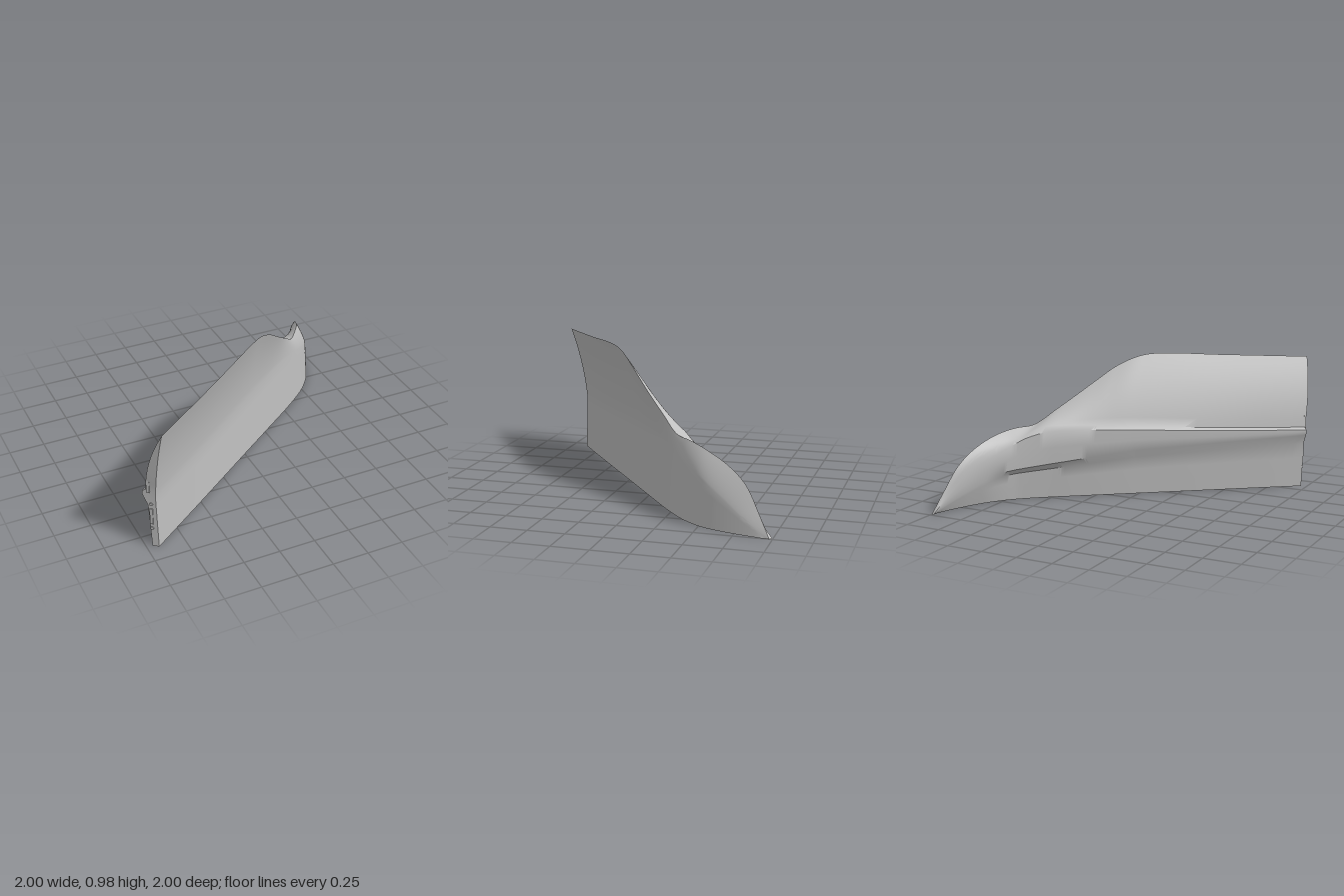
import * as THREE from 'three';
import { toCreasedNormals } from 'three/addons/utils/BufferGeometryUtils.js';

const V = (x, y, z) => new THREE.Vector3(x, y, z);
const curve = (rows) => new THREE.CatmullRomCurve3(rows.map((r) => V(...r)));

// Guide lines from rear to front; matching entries share a station
const bottomLine = curve([
  [-0.925, 0, 0.885], [-0.45, 0, 0.54], [0, 0, 0.21], [0.1, 0, 0.137], [0.2, 0, 0.064],
  [0.3, 0, -0.009], [0.4, 0, -0.082], [0.52, 0, -0.17], [0.66, 0, -0.28], [0.75, 0, -0.36],
  [0.84, 0, -0.465], [0.89, 0, -0.55], [0.93, 0, -0.66], [0.97, 0, -0.81], [0.998, 0, -0.95],
]);
const beltLine = curve([
  [-1, 0.43, 0.82], [-0.48, 0.45, 0.42], [0, 0.48, 0.05], [0.1, 0.485, -0.028], [0.2, 0.49, -0.105],
  [0.3, 0.495, -0.182], [0.4, 0.495, -0.26], [0.5, 0.485, -0.338], [0.6, 0.45, -0.425], [0.66, 0.41, -0.485],
  [0.73, 0.36, -0.575], [0.8, 0.3, -0.68], [0.865, 0.22, -0.785], [0.935, 0.1, -0.9], [0.978, 0, -0.995],
]);
const topLine = curve([
  [-0.925, 0.935, 1], [-0.45, 0.96, 0.665], [0, 0.982, 0.335], [0.1, 0.957, 0.247], [0.2, 0.9, 0.16],
  [0.3, 0.81, 0.058], [0.4, 0.715, -0.05], [0.5, 0.622, -0.163], [0.61, 0.525, -0.285], [0.7, 0.51, -0.4],
  [0.78, 0.475, -0.53], [0.85, 0.4, -0.69], [0.9, 0.3, -0.81], [0.95, 0.15, -0.9], [1, 0, -0.98],
]);
// Height of the body crease along the door
const creaseLine = curve([0.39, 0.36, 0.33, 0.315, 0.3, 0.285, 0.27, 0.255, 0.24, 0.23, 0.21, 0.16, 0.11, 0.05, 0]
  .map((y, i) => [i, y, 0]));

// Closed cross-section: up the inner face, then down the outer face
function section(u) {
  const B = bottomLine.getPoint(u), M = beltLine.getPoint(u), T = topLine.getPoint(u);
  const yc = creaseLine.getPoint(u).y;
  const across = V(M.x - B.x, 0, M.z - B.z);
  const out = across.clone().normalize();
  const at = (f, y) => B.clone().addScaledVector(across, f).setY(Math.max(y, 0));
  const front = THREE.MathUtils.smoothstep(u, 0.44, 0.62);
  const nose = THREE.MathUtils.smoothstep(u, 0.62, 0.78);

  // Belt ledge, fading into the rounded front edge
  const ledge = M.clone().addScaledVector(out, -0.025).setY(M.y + 0.015 + 0.04 * u)
    .lerp(M.clone().lerp(T, 0.35).addScaledVector(out, 0.035 * (1 - u)), front);
  const bulge = 0.06 * Math.max(T.y - ledge.y, 0) / 0.5 + 0.015 * nose * (1 - u);
  const window = new THREE.QuadraticBezierCurve3(
    ledge, ledge.clone().lerp(T, 0.5).addScaledVector(out, bulge), T);

  // Lower body with a step under the crease
  const Bo = at(0.45, 0);
  const low = at(THREE.MathUtils.lerp(0.64, 0.8, nose), yc * 0.83);
  const high = at(THREE.MathUtils.lerp(0.95, 0.87, nose), yc);
  const outer = [Bo, Bo.clone().lerp(low, 0.33), Bo.clone().lerp(low, 0.67), low, high,
    high.clone().lerp(M, 0.5).addScaledVector(out, 0.004), M];
  for (let k = 0; k <= 8; k++) outer.push(window.getPoint(k / 8));

  // Inner face: upright below the belt, curling inward above it
  const mid = at(0.12, M.y * 0.9);
  const bend = mid.clone().lerp(T, 0.2).setY(THREE.MathUtils.lerp(mid.y, T.y, 0.5));
  const upper = new THREE.QuadraticBezierCurve3(mid, bend, T);
  const inner = [];
  for (let k = 0; k < 5; k++) inner.push(B.clone().lerp(mid, k / 5));
  for (let k = 0; k <= 10; k++) inner.push(upper.getPoint(k / 10));
  return [...inner, ...outer.reverse()];
}

function buildShell() {
  const steps = 112, pos = [];
  const rings = [];
  for (let i = 0; i <= steps; i++) rings.push(section(i / steps));
  const n = rings[0].length;
  const tri = (...pts) => pts.forEach((p) => pos.push(p.x, p.y, p.z));
  const quad = (a, b, c, d) => { tri(a, b, c); tri(a, c, d); };
  for (let i = 0; i < steps; i++) {
    for (let j = 0; j < n; j++) {
      const k = (j + 1) % n;
      quad(rings[i][j], rings[i + 1][j], rings[i + 1][k], rings[i][k]);
    }
  }
  // Rear end cap
  const r = rings[0];
  for (let j = 0; j < n / 2 - 1; j++) quad(r[j], r[j + 1], r[n - 2 - j], r[n - 1 - j]);
  const g = new THREE.BufferGeometry();
  g.setAttribute('position', new THREE.Float32BufferAttribute(pos, 3));
  return toCreasedNormals(g, 0.62);
}

export function createModel() {
  const model = new THREE.Group();
  model.name = 'carDoorPanel';
  const grey = new THREE.MeshStandardMaterial({ color: 0xbfbfbf });
  grey.name = 'plain grey';
  grey.side = THREE.DoubleSide;

  const add = (name, geometry) => {
    const mesh = new THREE.Mesh(geometry, grey);
    mesh.name = name;
    model.add(mesh);
    return mesh;
  };
  add('doorShell', buildShell());

  // Latch fittings on the rear end
  const turn = Math.atan2(-0.65, 0.76);
  const fittings = [['upperLatch', 0.48, 0.1, -0.972, 0.852], ['lowerLatch', 0.24, 0.12, -0.957, 0.857]];
  for (const [name, y, h, x, z] of fittings) {
    const plate = add(name, new THREE.BoxGeometry(0.02, h, 0.014));
    plate.position.set(x, y, z);
    plate.rotation.y = turn;
  }
  // Round bolts above and below the lower latch
  for (const y of [0.335, 0.145]) {
    const bolt = add('latchBolt', new THREE.CylinderGeometry(0.011, 0.011, 0.012, 16).rotateX(Math.PI / 2));
    bolt.position.set(-0.957, y, 0.858);
    bolt.rotation.y = turn;
  }
  return model;
}
